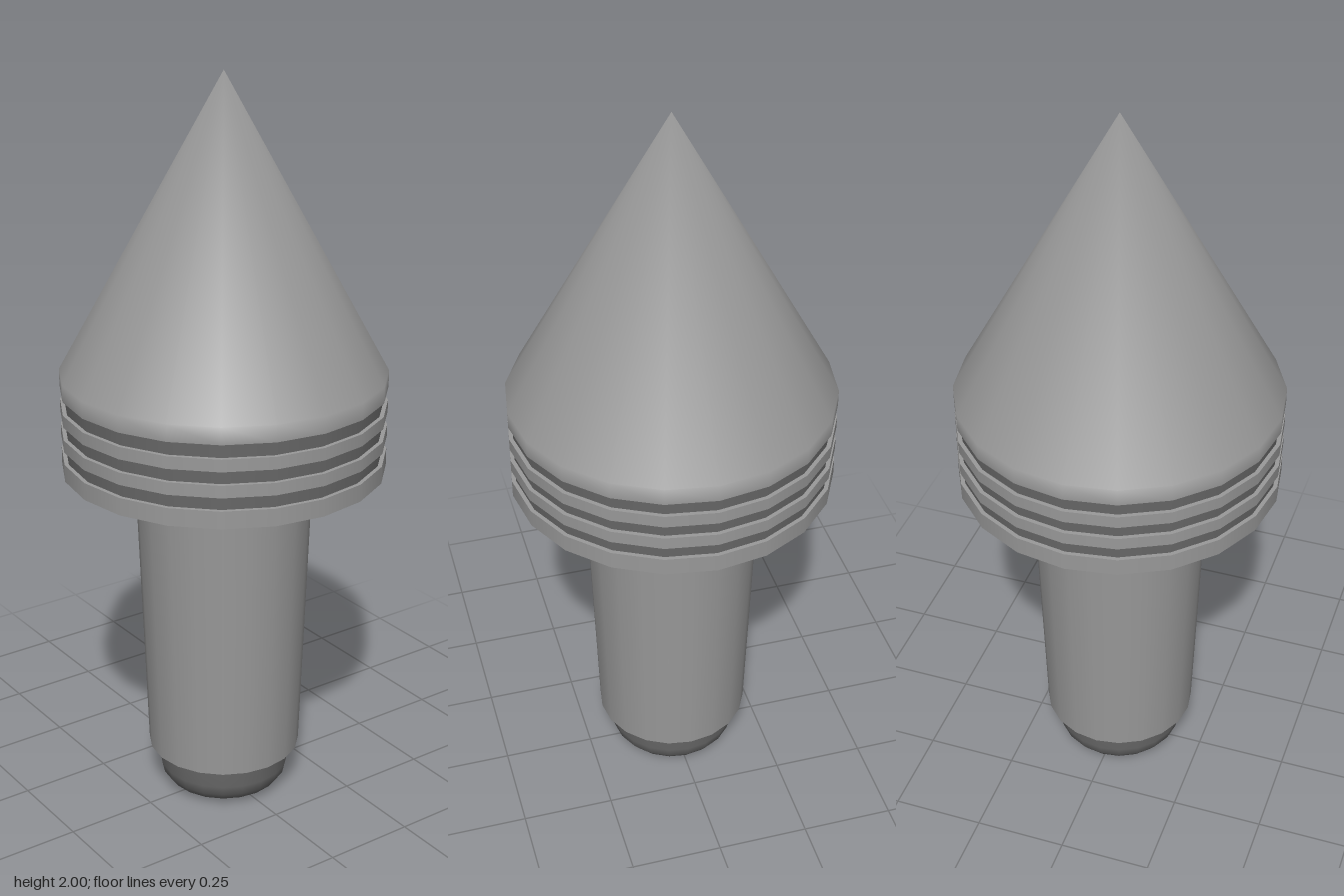
import * as THREE from 'three';
import { mergeVertices } from 'three/addons/utils/BufferGeometryUtils.js';

const SIDES = 20;
const light = new THREE.MeshStandardMaterial({ color: 0x999999 });
const dark = new THREE.MeshStandardMaterial({ color: 0x666666 });

// Revolves a profile (listed bottom to top, [radius, height]) with normals
// shared everywhere, so the pole of a cone or dome shades smoothly.
function turned(name, profile, material) {
  const points = profile.map(([r, y]) => new THREE.Vector2(r, y));
  const lathe = new THREE.LatheGeometry(points, SIDES);
  lathe.deleteAttribute('uv');
  lathe.deleteAttribute('normal');
  const geometry = mergeVertices(lathe, 1e-5);
  geometry.computeVertexNormals();
  const mesh = new THREE.Mesh(geometry, material);
  mesh.name = name;
  return mesh;
}

// Capped cylinder between two heights, with sharp rims.
function drum(name, bottomRadius, topRadius, bottom, top, material) {
  const geometry = new THREE.CylinderGeometry(topRadius, bottomRadius, top - bottom, SIDES);
  const mesh = new THREE.Mesh(geometry, material);
  mesh.position.y = (bottom + top) / 2;
  mesh.name = name;
  return mesh;
}

export function createModel() {
  const model = new THREE.Group();
  model.name = 'pointedPlug';
  const R = 0.431;

  // Pointed head with a short vertical band at its base, closed underneath
  model.add(turned('coneHead', [[R, 1.18], [R, 1.225], [0, 2]], light));
  const headBase = new THREE.Mesh(new THREE.CircleGeometry(R, SIDES), light);
  headBase.rotation.x = Math.PI / 2;
  headBase.position.y = 1.18;
  headBase.name = 'headBase';
  model.add(headBase);

  // Dark collar core showing between the light rings
  model.add(drum('collarCore', 0.42, 0.42, 0.98, 1.19, dark));
  [[0.96, 1.007], [1.042, 1.075], [1.11, 1.143]].forEach(([bottom, top], i) => {
    model.add(drum(`collarRing${i + 1}`, R, R, bottom, top, light));
  });

  // Tapered shaft with a flat end
  model.add(drum('taperedShaft', 0.21, 0.239, 0.13, 0.97, light));

  // Dark rounded tip below the shaft
  const tip = [[0, 0], [0.1, 0]];
  for (let i = 1; i <= 4; i++) {
    const a = (i / 4) * Math.PI / 2;
    tip.push([0.1 + 0.08 * Math.sin(a), 0.07 * (1 - Math.cos(a))]);
  }
  tip.push([0.18, 0.14]);
  model.add(turned('roundedTip', tip, dark));

  return model;
}
